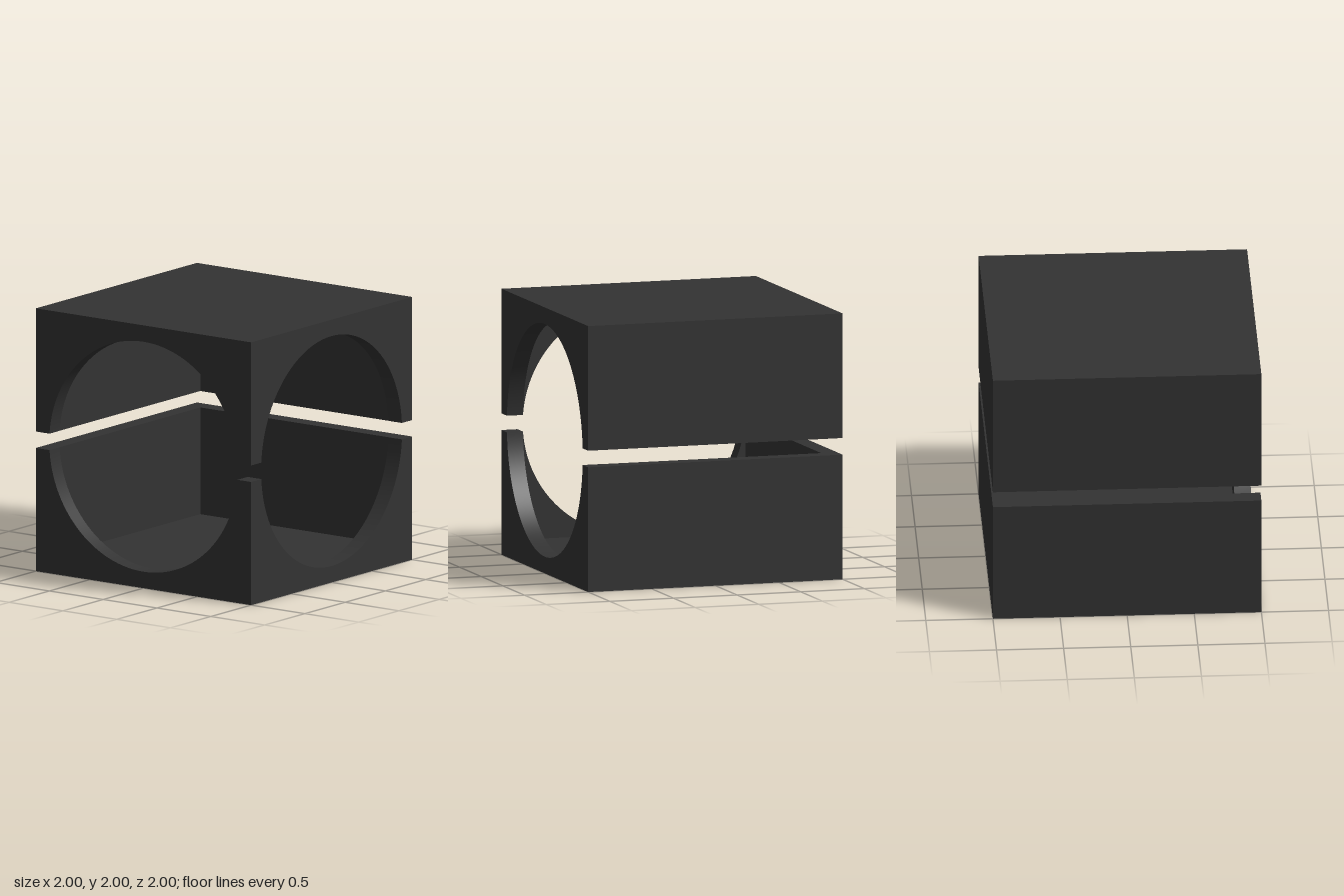
import * as THREE from 'three';
import { toCreasedNormals } from 'three/addons/utils/BufferGeometryUtils.js';

const WALL = 0.125;            // wall thickness
const INNER = 1 - WALL;        // half width of the cavity, also the opening radius
const HALF_HEIGHT = 0.9375;    // each half stops short of the middle, leaving a slit

const material = new THREE.MeshStandardMaterial({ color: 0x333333 });

function addMesh(group, name, geometry, x = 0, y = 0, z = 0) {
  const mesh = new THREE.Mesh(geometry, material);
  mesh.name = name;
  mesh.position.set(x, y, z);
  group.add(mesh);
  return mesh;
}

// Upright panel with an almost semicircular cut-out in its upper edge
function archedPanel(halfWidth) {
  const start = -Math.asin((1 - HALF_HEIGHT) / INNER);
  const shape = new THREE.Shape();
  shape.moveTo(-halfWidth, 0);
  shape.lineTo(halfWidth, 0);
  shape.lineTo(halfWidth, HALF_HEIGHT);
  shape.absarc(0, 1, INNER, start, -Math.PI - start, true);
  shape.lineTo(-halfWidth, HALF_HEIGHT);
  shape.closePath();
  const geometry = new THREE.ExtrudeGeometry(shape, {
    depth: WALL, bevelEnabled: false, curveSegments: 64,
  });
  return toCreasedNormals(geometry, Math.PI / 6);
}

// One open half: floor, two solid walls and two walls with openings
function createHalf(name) {
  const half = new THREE.Group();
  half.name = name;
  const mid = HALF_HEIGHT / 2;
  const offset = 1 - WALL / 2;

  addMesh(half, 'floorPlate', new THREE.BoxGeometry(2 * INNER, WALL, 2 * INNER), 0, WALL / 2, 0);
  addMesh(half, 'solidBackWall', new THREE.BoxGeometry(2, HALF_HEIGHT, WALL), 0, mid, -offset);
  addMesh(half, 'solidSideWall', new THREE.BoxGeometry(WALL, HALF_HEIGHT, 2 * INNER), offset, mid, 0);
  addMesh(half, 'openFrontWall', archedPanel(1), 0, 0, INNER);
  addMesh(half, 'openSideWall', archedPanel(INNER), -INNER, 0, 0).rotation.y = -Math.PI / 2;
  return half;
}

export function createModel() {
  const model = new THREE.Group();
  model.name = 'splitHollowCube';

  const lower = createHalf('lowerHalf');

  // Turning over the diagonal swaps the two open walls, so the openings line up
  const upper = createHalf('upperHalf');
  upper.quaternion.setFromAxisAngle(new THREE.Vector3(-1, 0, 1).normalize(), Math.PI);
  upper.position.y = 2;

  model.add(lower, upper);
  return model;
}
